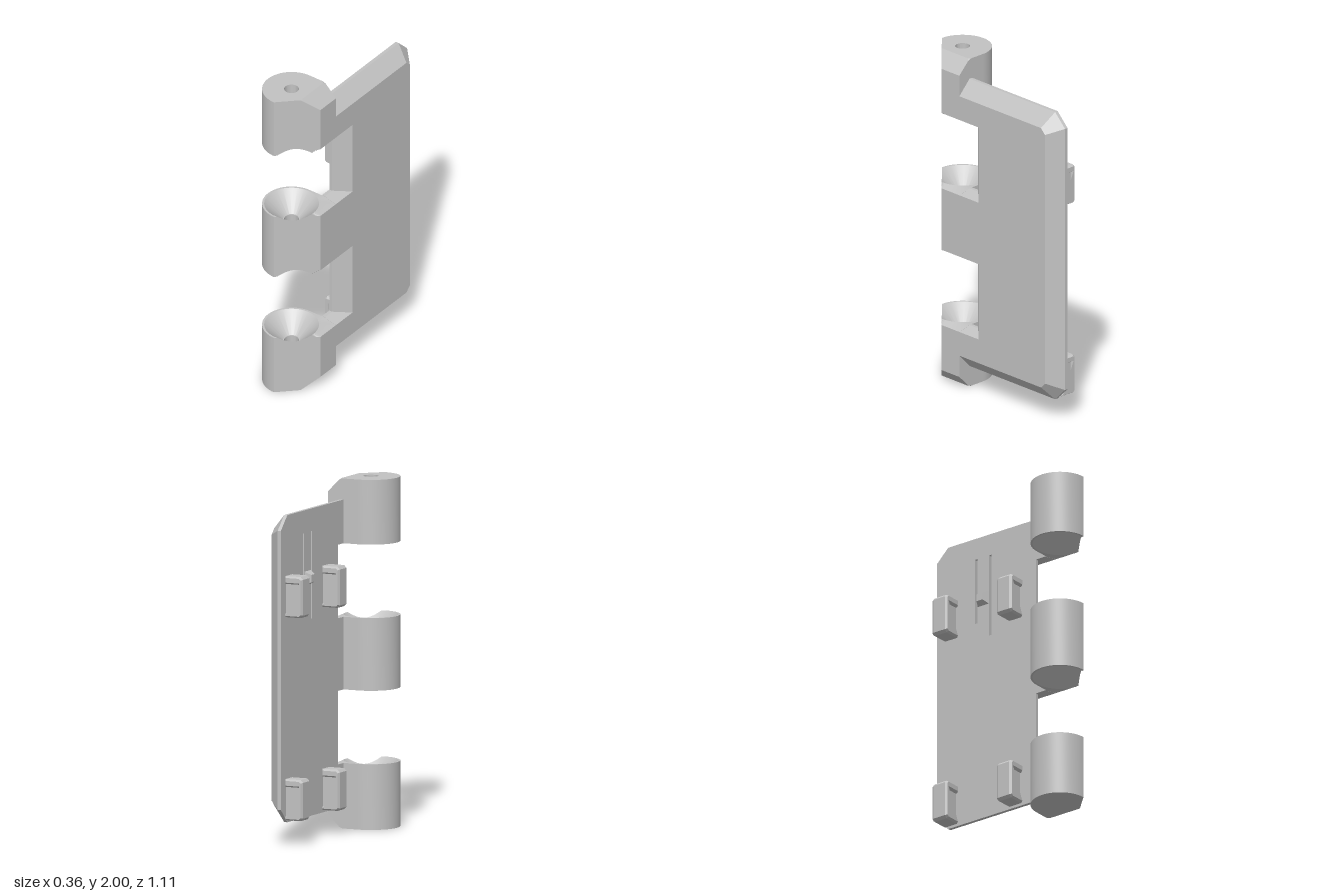
import * as THREE from 'three';
import { toCreasedNormals } from 'three/addons/utils/BufferGeometryUtils.js';

const grey = new THREE.MeshStandardMaterial({ color: 0xc2c2c2 });
grey.name = 'light grey';

function fromTriangles(pos) {
  const g = new THREE.BufferGeometry();
  g.setAttribute('position', new THREE.Float32BufferAttribute(pos, 3));
  g.computeVertexNormals();
  return g;
}

function part(name, geometry) {
  const m = new THREE.Mesh(geometry, grey);
  m.name = name;
  return m;
}

// Leaf outline as [u, y] on the inner face and [u, y] on the outer face, with u = -z
const OUTLINE = [
  [-0.22, 0.125, -0.22, 0.21], [0.475, 0.125, 0.442, 0.21],
  [0.555, 0.205, 0.475, 0.243], [0.555, 1.8, 0.475, 1.762],
  [0.475, 1.88, 0.442, 1.795], [-0.22, 1.88, -0.22, 1.795],
  [-0.22, 1.63, -0.22, 1.65], [-0.15, 1.63, -0.065, 1.65],
  [-0.15, 1.21, -0.065, 1.19], [-0.22, 1.21, -0.22, 1.19],
  [-0.22, 0.795, -0.22, 0.815], [-0.15, 0.795, -0.065, 0.815],
  [-0.15, 0.375, -0.065, 0.355], [-0.22, 0.375, -0.22, 0.355],
];
const innerPts = OUTLINE.map(p => new THREE.Vector2(p[0], p[1]));
const outerPts = OUTLINE.map(p => new THREE.Vector2(p[2], p[3]));

// Outer part of the leaf, chamfered towards +x
function leafBody(x0, x1) {
  const pos = [], n = OUTLINE.length;
  const put = (p, x) => pos.push(x, p.y, -p.x);
  for (let i = 0; i < n; i++) {
    const j = (i + 1) % n;
    put(innerPts[i], x0); put(innerPts[j], x0); put(outerPts[j], x1);
    put(innerPts[i], x0); put(outerPts[j], x1); put(outerPts[i], x1);
  }
  for (const [a, b, c] of THREE.ShapeUtils.triangulateShape(outerPts, [])) {
    put(outerPts[a], x1); put(outerPts[b], x1); put(outerPts[c], x1);
  }
  for (const [a, b, c] of THREE.ShapeUtils.triangulateShape(innerPts, [])) {
    put(innerPts[a], x0); put(innerPts[c], x0); put(innerPts[b], x0);
  }
  return fromTriangles(pos);
}

// Inner skin of the leaf with two narrow slits
function leafSkin(x0, depth) {
  const shape = new THREE.Shape(innerPts);
  for (const [u, y0, y1] of [[0.275, 1.35, 1.75], [0.175, 1.25, 1.75]]) {
    const w = 0.008;
    shape.holes.push(new THREE.Path([
      new THREE.Vector2(u - w, y0), new THREE.Vector2(u - w, y1),
      new THREE.Vector2(u + w, y1), new THREE.Vector2(u + w, y0)]));
  }
  const g = new THREE.ExtrudeGeometry(shape, { depth, bevelEnabled: false });
  return g.rotateY(Math.PI / 2).translate(x0, 0, 0);
}

// Knuckle outline around its pin axis: round behind, flat towards the leaf
const CX = -0.013, CZ = 0.388, R = 0.167, WIDE = 0.188;
const HOLE = 0.042, CONE = 0.155, EDGE = 0.095;

function reach(a) {
  const c = Math.cos(a), s = Math.sin(a);
  if (c <= 1e-6) return R;
  let r = WIDE / c;
  if (s < 0) r = Math.min(r, R / -s);
  if (c + s > 0) r = Math.min(r, R / (c + s));
  return r;
}

const ANGLES = [Math.atan2(-R, WIDE), Math.atan2(R - WIDE, WIDE)];
for (let i = 0; i < 72; i++) ANGLES.push(-Math.PI / 2 + i * Math.PI / 36);
ANGLES.sort((a, b) => a - b);

// Ring points of one knuckle end, from the rim inwards, as [radius, inset]
function knuckleEnd(a, type) {
  const out = reach(a), c = Math.cos(a);
  if (type === 'cone') {
    const inset = r => Math.max(CONE - r, 0,
      0.02 * Math.min(1, (CX + r * c - EDGE) / 0.08) * (r > CONE ? 1 : 0));
    return [out, Math.min(out, CONE), HOLE + 0.006, HOLE]
      .map((r, k) => [r, k === 3 ? CONE - HOLE - 0.006 : inset(r)]);
  }
  const bend = c > 0.01 ? Math.min(out, (EDGE - CX) / c) : out;
  const drop = Math.max(0, CX + out * c - EDGE);
  return [[out, drop], [bend, 0], [type === 'solid' ? 0 : HOLE, 0]];
}

function knuckle(y0, y1, lowType, highType) {
  const columns = ANGLES.map(a => {
    const low = knuckleEnd(a, lowType).reverse().map(([r, d]) => [r, y0 + d]);
    const high = knuckleEnd(a, highType).map(([r, d]) => [r, y1 - d]);
    const col = [...low, ...high];
    // blind pin hole, or a hole right through
    if (lowType === 'solid') col.push([HOLE, y0 + 0.04], [0, y0 + 0.04]);
    else col.push(low[0]);
    return col.map(([r, y]) =>
      new THREE.Vector3(CX + r * Math.cos(a), y, CZ + r * Math.sin(a)));
  });
  const pos = [];
  const tri = new THREE.Triangle();
  const face = (a, b, c) => {
    if (tri.set(a, b, c).getArea() > 1e-8) for (const p of [a, b, c]) pos.push(p.x, p.y, p.z);
  };
  columns.forEach((p, i) => {
    const q = columns[(i + 1) % columns.length];
    for (let k = 0; k < p.length - 1; k++) {
      face(p[k], p[k + 1], q[k + 1]);
      face(p[k], q[k + 1], q[k]);
    }
  });
  return toCreasedNormals(fromTriangles(pos), 0.4);
}

// Clip block: a bevelled C-shaped rim around a thinner core
function clip(name, y, z) {
  const group = new THREE.Group();
  group.name = name;
  const rim = new THREE.Shape([
    [0.078, 0], [0.078, 0.02], [-0.01, 0.02], [-0.01, 0.19], [0.078, 0.19],
    [0.078, 0.235], [-0.02, 0.235], [-0.035, 0.22], [-0.035, 0.015], [-0.02, 0],
  ].map(p => new THREE.Vector2(...p)).reverse());
  const b = 0.014;
  const g = new THREE.ExtrudeGeometry(rim, {
    depth: 0.108 - 2 * b, bevelThickness: b, bevelSize: 0.009, bevelOffset: -0.009, bevelSegments: 1 });
  g.translate(0, 0, -0.054 + b);
  group.add(part('clipRim', g));
  const core = new THREE.BoxGeometry(0.098, 0.2, 0.07);
  core.translate(0.029, 0.11, 0);
  group.add(part('clipCore', core));
  group.position.set(0, y, z);
  return group;
}

export function createModel() {
  const model = new THREE.Group();
  model.name = 'hingeLeaf';
  model.add(part('leafBody', leafBody(0.095, 0.175)));
  model.add(part('leafSkin', leafSkin(0.075, 0.02)));

  model.add(part('lowerKnuckle', knuckle(0, 0.375, 'solid', 'cone')));
  model.add(part('middleKnuckle', knuckle(0.795, 1.21, 'cone', 'cone')));
  model.add(part('upperKnuckle', knuckle(1.63, 2, 'cone', 'flat')));

  for (const [row, y] of [['lower', 0.14], ['upper', 1.3]]) {
    model.add(clip(row + 'BackClip', y, -0.455));
    model.add(clip(row + 'FrontClip', y, 0.003));
  }

  // Small latch nub between the slits
  const nub = new THREE.CylinderGeometry(0.03, 0.0566, 0.036, 4).toNonIndexed();
  nub.rotateY(Math.PI / 4).rotateZ(Math.PI / 2);
  nub.computeVertexNormals();
  const nubMesh = part('latchNub', nub);
  nubMesh.position.set(0.058, 1.49, -0.225);
  model.add(nubMesh);
  return model;
}
